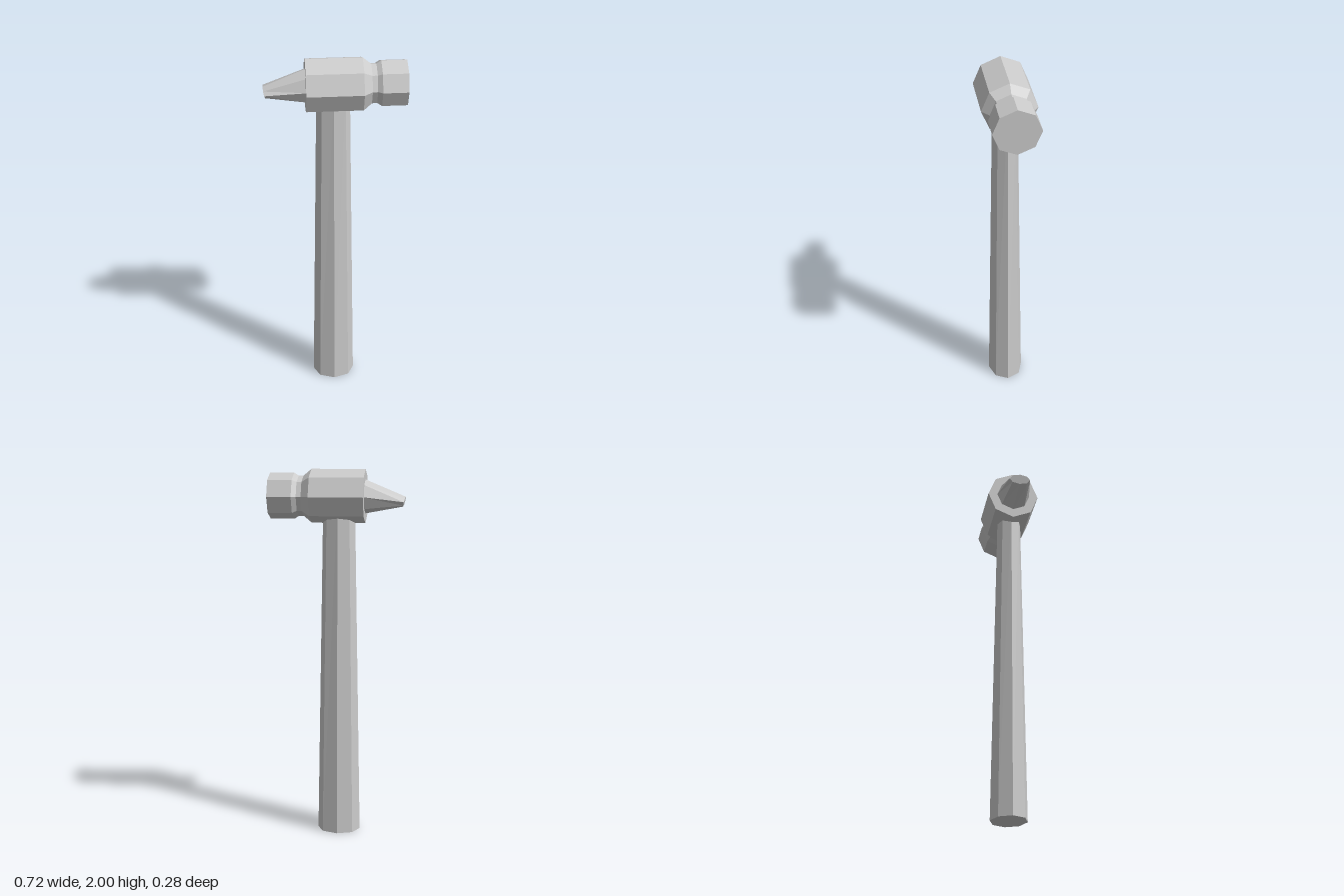
import * as THREE from 'three';

const SIDES = 8;
const HEAD_Y = 1.858;
const { lerp } = THREE.MathUtils;

function addPart(group, name, geometry) {
  const material = new THREE.MeshStandardMaterial({ color: 0xcccccc, flatShading: true });
  const mesh = new THREE.Mesh(geometry, material);
  mesh.name = name;
  group.add(mesh);
  return mesh;
}

// Unit octagonal prism along y from 0 to 1; rule(vertex, t) moves each vertex
function shapedPrism(rule) {
  const geometry = new THREE.CylinderGeometry(1, 1, 1, SIDES).translate(0, 0.5, 0);
  const position = geometry.attributes.position;
  const v = new THREE.Vector3();
  for (let i = 0; i < position.count; i++) {
    v.fromBufferAttribute(position, i);
    rule(v, v.y);
    position.setXYZ(i, v.x, v.y, v.z);
  }
  geometry.computeVertexNormals();
  return geometry;
}

export function createModel() {
  const hammer = new THREE.Group();
  hammer.name = 'hammer';

  // Handle: oval octagon tapering upward, its top buried in the head
  addPart(hammer, 'handle', shapedPrism((v, t) => {
    v.set(v.x * lerp(0.1175, 0.085, t) - 0.009, t * 1.84, v.z * lerp(0.098, 0.065, t));
  }));

  // Head: body, neck and striking face turned as one profile (radius, x)
  const profile = [
    [0, -0.15], [0.142, -0.15], [0.142, 0.138], [0.106, 0.181],
    [0.106, 0.207], [0.122, 0.231], [0.122, 0.361], [0, 0.361],
  ].map(([r, x]) => new THREE.Vector2(r, x));
  const head = addPart(hammer, 'head', new THREE.LatheGeometry(profile, SIDES).rotateZ(-Math.PI / 2));
  head.position.y = HEAD_Y;

  // Peen: flattens and drops toward a slightly slanted tip
  const peen = shapedPrism((v, t) => {
    const up = v.x;
    v.set(
      lerp(0, -0.027, t) + up * lerp(0.092, 0.026, t),
      lerp(0.14, 0.3565, t) + up * 0.0065 * t,
      v.z * lerp(0.093, 0.057, t),
    );
  });
  addPart(hammer, 'peen', peen.rotateZ(Math.PI / 2)).position.y = HEAD_Y;

  return hammer;
}
